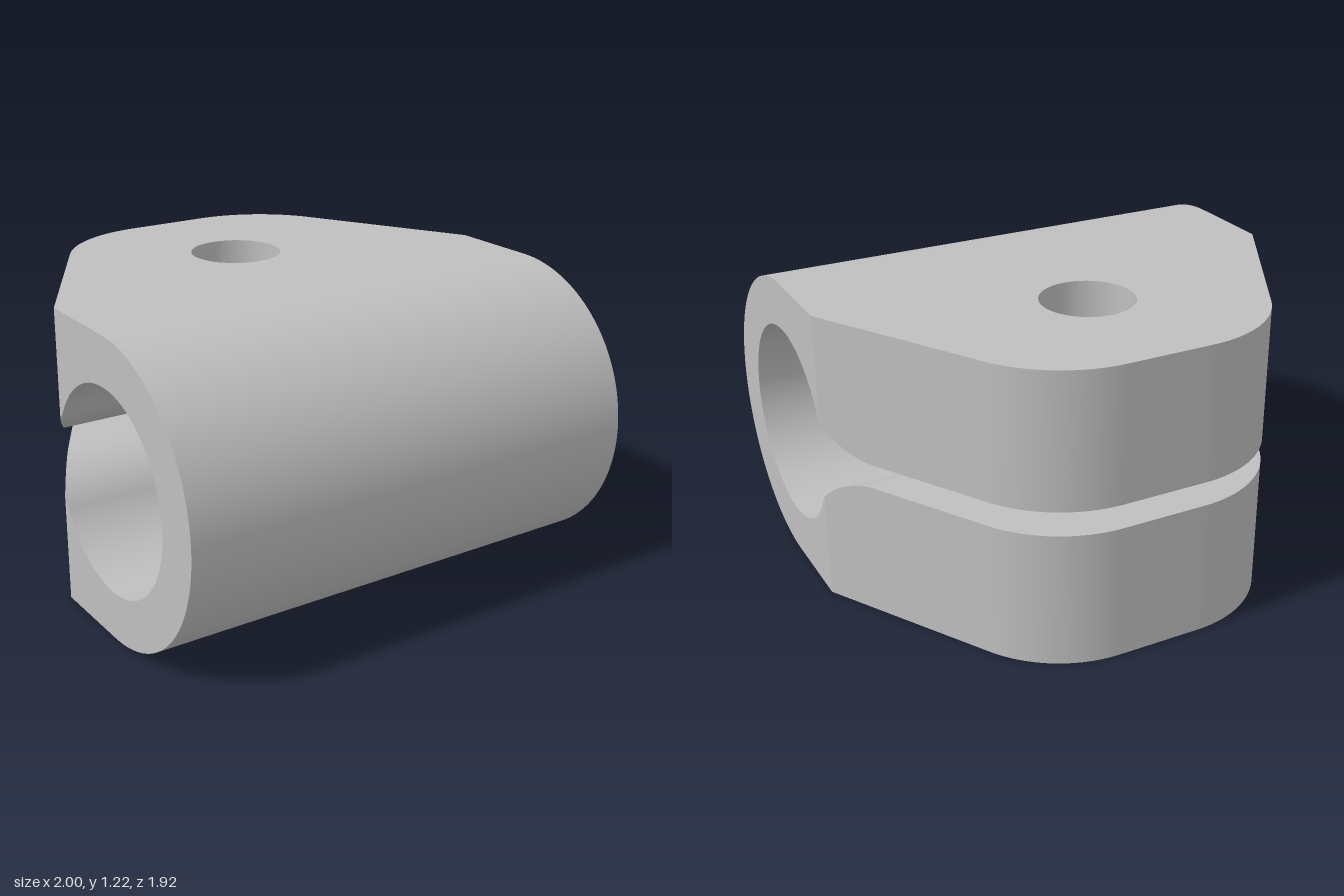
import * as THREE from 'three';
import { toCreasedNormals } from 'three/addons/utils/BufferGeometryUtils.js';

// Main dimensions
const H = 1.22, MID = H / 2, BACK = -0.96;
const RING_Z = 0.35, OUTER_R = 0.61, BORE_R = 0.411;
const SLOT = 0.05, SLOT_Z = -0.27;            // half slot height, end of its flat part
const HOLE_Z = -0.36, HOLE_R = 0.19;
const SHOULDER_Z = -0.035, CORNER_R = 0.5, TAPER = Math.PI / 3;

// Fillet that is tangent to both the bore and the slot
const dz = RING_Z - SLOT_Z;
const FILLET = (dz * dz + SLOT * SLOT - BORE_R * BORE_R) / (2 * (BORE_R - SLOT));
const joinAngle = Math.atan2(SLOT + FILLET, -dz);
const JOIN_Z = RING_Z + BORE_R * Math.cos(joinAngle);

// Rounded back corners of the jaws, tangent to the taper
const cornerZ = BACK + CORNER_R;
const tangentZ = cornerZ - CORNER_R * Math.cos(TAPER);
const taperX = (z) => 1 - (SHOULDER_Z - z) / Math.tan(TAPER);
const cornerX = taperX(tangentZ) - CORNER_R * Math.sin(TAPER);

const root = (v) => Math.sqrt(Math.max(0, v));
const holeHalf = (z) => root(HOLE_R ** 2 - (z - HOLE_Z) ** 2);

function halfWidth(z) {
  if (z >= SHOULDER_Z) return 1;
  if (z >= tangentZ) return taperX(z);
  return cornerX + root(CORNER_R ** 2 - (z - cornerZ) ** 2);
}

function slotHalf(z) {
  if (z <= SLOT_Z) return SLOT;
  return SLOT + FILLET - root(FILLET ** 2 - (z - SLOT_Z) ** 2);
}

// Depths at which the jaw needs a cross-section
function sectionDepths() {
  const zs = [BACK, SHOULDER_Z, JOIN_Z, SLOT_Z, tangentZ];
  const filletSweep = Math.asin((JOIN_Z - SLOT_Z) / FILLET);
  const N = 20;
  for (let i = 0; i <= N; i++) {
    const t = i / N;
    zs.push(SLOT_Z + FILLET * Math.sin(filletSweep * t));
    zs.push(HOLE_Z + HOLE_R * Math.cos(Math.PI * t));
    zs.push(cornerZ - CORNER_R * Math.cos(TAPER * t));
  }
  return [...new Set(zs.map((z) => +z.toFixed(4)))].sort((a, b) => a - b);
}

// Jaw: four-cornered sections swept along z, mirrored about the hole;
// up = 1 for the upper jaw, -1 for the lower one
function jawGeometry(up) {
  const pos = [];
  for (const side of [1, -1]) {
    const quad = (a, b, c, d) => {
      const order = side * up > 0 ? [a, b, c, a, c, d] : [a, c, b, a, d, c];
      order.forEach((p) => pos.push(...p));
    };
    const sections = sectionDepths().map((z) => {
      const place = (x, y) => [side * x, MID + up * y, z];
      const inX = holeHalf(z), outX = halfWidth(z), low = slotHalf(z);
      return [place(inX, MID), place(outX, MID), place(outX, low), place(inX, low)];
    });
    for (let i = 0; i < sections.length - 1; i++) {
      const p = sections[i], q = sections[i + 1];
      for (let k = 0; k < 4; k++) {
        const n = (k + 1) % 4;
        // the inner wall exists only along the bolt hole
        if (k === 3 && Math.abs(p[0][0]) < 1e-6 && Math.abs(q[0][0]) < 1e-6) continue;
        quad(p[k], q[k], q[n], p[n]);
      }
    }
    quad(...sections[0]);                     // flat back end
  }
  const geo = new THREE.BufferGeometry();
  geo.setAttribute('position', new THREE.Float32BufferAttribute(pos, 3));
  return toCreasedNormals(geo, 0.4);
}

// Collar: C-shaped side profile (z, y) extruded across the width
function collarGeometry() {
  const s = new THREE.Shape();
  s.moveTo(JOIN_Z, 0);
  s.lineTo(RING_Z, 0);
  s.absarc(RING_Z, MID, OUTER_R, -Math.PI / 2, Math.PI / 2, false);
  s.lineTo(JOIN_Z, H);
  s.absarc(RING_Z, MID, BORE_R, joinAngle, -joinAngle, true);
  s.closePath();
  const geo = new THREE.ExtrudeGeometry(s, { depth: 2, bevelEnabled: false, curveSegments: 64 });
  geo.translate(0, 0, -1).rotateY(-Math.PI / 2);
  return toCreasedNormals(geo, 0.4);
}

export function createModel() {
  const metal = new THREE.MeshStandardMaterial({ color: 0xbfbfbf });
  metal.name = 'light grey metal';

  const clamp = new THREE.Group();
  clamp.name = 'tubeClamp';
  const add = (name, geo) => {
    const mesh = new THREE.Mesh(geo, metal);
    mesh.name = name;
    clamp.add(mesh);
  };
  add('collar', collarGeometry());
  add('upperJaw', jawGeometry(1));
  add('lowerJaw', jawGeometry(-1));
  return clamp;
}
